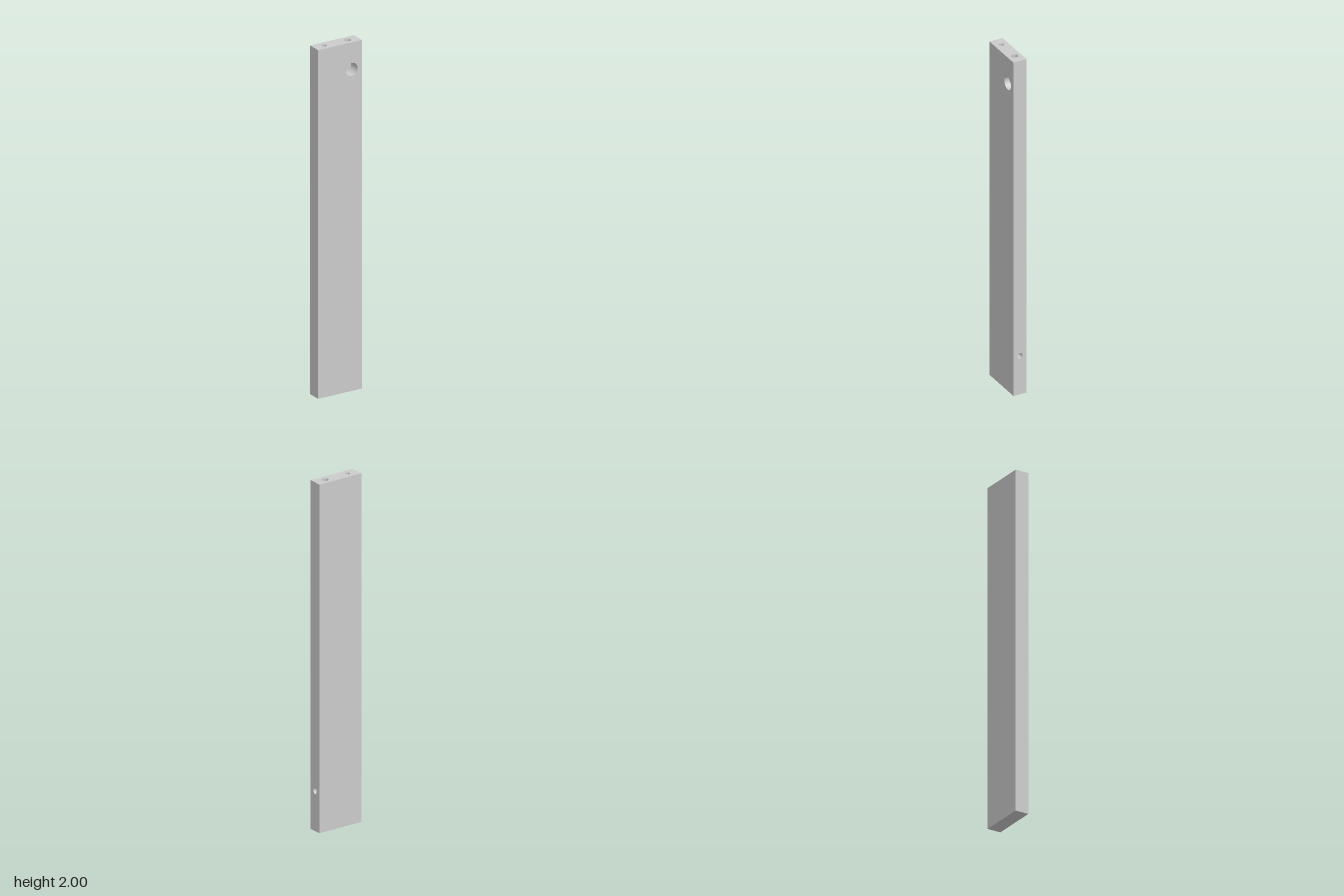
import * as THREE from 'three';

const W = 0.275, H = 2, D = 0.08;      // board size
const SEG = 64;
const CAM = { x: 0.0725, y: 1.845, r: 0.0372, depth: 0.065 };
const BOLT_R = 0.019;
const DOWEL = { x: -0.075, r: 0.0145, depth: 0.1 };
const PIN = { y: 0.23, rx: 0.0145, ry: 0.018, depth: 0.06 };

const material = new THREE.MeshStandardMaterial({ color: 0xcccccc });
const boreMaterial = new THREE.MeshStandardMaterial({ color: 0xcccccc, side: THREE.DoubleSide });

function mesh(name, geometry, mat = material) {
  const m = new THREE.Mesh(geometry, mat);
  m.name = name;
  return m;
}

// Flat rectangle facing +z, with elliptical holes [x, y, rx, ry]
function panel(w, h, holes = []) {
  const s = new THREE.Shape();
  s.moveTo(-w / 2, -h / 2).lineTo(w / 2, -h / 2).lineTo(w / 2, h / 2).lineTo(-w / 2, h / 2);
  for (const [x, y, rx, ry] of holes) {
    s.holes.push(new THREE.Path().absellipse(x, y, rx, ry, 0, Math.PI * 2, true));
  }
  return new THREE.ShapeGeometry(s, SEG);
}

// Bore wall around +z: an ellipse swept between two depths given per angle
function wall(rx, ry, zTop, zBottom) {
  const g = new THREE.CylinderGeometry(1, 1, 1, SEG, 1, true).rotateX(Math.PI / 2);
  const p = g.attributes.position;
  for (let i = 0; i < p.count; i++) {
    const x = p.getX(i) * rx, y = p.getY(i) * ry;
    p.setXYZ(i, x, y, p.getZ(i) > 0 ? zTop(x, y) : zBottom(x, y));
  }
  return g;
}

// Blind hole opening towards +z
function blindHole(name, rx, ry, depth) {
  const g = new THREE.Group();
  g.name = name;
  const floor = mesh(name + 'Floor', new THREE.CircleGeometry(1, SEG).scale(rx, ry, 1));
  floor.position.z = -depth;
  g.add(mesh(name + 'Wall', wall(rx, ry, () => 0, () => -depth), boreMaterial), floor);
  return g;
}

export function createModel() {
  const root = new THREE.Group();
  root.name = 'board';
  const q = Math.PI / 2;

  // Board faces
  const faces = [
    ['frontFace', panel(W, H, [[CAM.x, CAM.y - H / 2, CAM.r, CAM.r]]), [0, 0, 0], [0, 0, D / 2]],
    ['backFace', panel(W, H), [0, Math.PI, 0], [0, 0, -D / 2]],
    ['leftEdge', panel(D, H, [[0, PIN.y - H / 2, PIN.rx, PIN.ry]]), [0, q, 0], [W / 2, 0, 0]],
    ['rightEdge', panel(D, H), [0, -q, 0], [-W / 2, 0, 0]],
    ['topEnd', panel(W, D, [[DOWEL.x, 0, DOWEL.r, DOWEL.r], [CAM.x, 0, BOLT_R, BOLT_R]]),
      [-q, 0, 0], [0, H / 2, 0]],
    ['bottomEnd', panel(W, D), [q, 0, 0], [0, -H / 2, 0]],
  ];
  for (const [name, geometry, rot, pos] of faces) {
    const m = mesh(name, geometry);
    m.rotation.set(...rot);
    m.position.set(pos[0], pos[1] + H / 2, pos[2]);
    root.add(m);
  }

  // Cam housing: wall in two halves that leave an opening for the bolt bore
  const cam = new THREE.Group();
  cam.name = 'camHousing';
  const gap = (x, y) => (y > 0 ? Math.sqrt(Math.max(0, BOLT_R ** 2 - x * x)) : 0);
  const camFloor = mesh('camFloor', new THREE.CircleGeometry(CAM.r, SEG));
  camFloor.position.z = D / 2 - CAM.depth;
  cam.add(
    mesh('camWallFront', wall(CAM.r, CAM.r, () => D / 2, gap), boreMaterial),
    mesh('camWallBack', wall(CAM.r, CAM.r, (x, y) => -gap(x, y), () => D / 2 - CAM.depth), boreMaterial),
    camFloor,
  );
  cam.position.set(CAM.x, CAM.y, 0);
  root.add(cam);

  // Bolt bore: runs from the top end down into the cam housing
  const bolt = mesh('boltBore', wall(BOLT_R, BOLT_R, () => 0,
    (x) => CAM.y - H + Math.sqrt(CAM.r ** 2 - x * x)), boreMaterial);
  bolt.rotation.x = -q;
  bolt.position.set(CAM.x, H, 0);
  root.add(bolt);

  // Dowel hole in the top end
  const dowel = blindHole('dowelHole', DOWEL.r, DOWEL.r, DOWEL.depth);
  dowel.rotation.x = -q;
  dowel.position.set(DOWEL.x, H, 0);
  root.add(dowel);

  // Pin hole in the side edge
  const pin = blindHole('pinHole', PIN.rx, PIN.ry, PIN.depth);
  pin.rotation.y = q;
  pin.position.set(W / 2, PIN.y, 0);
  root.add(pin);

  return root;
}
